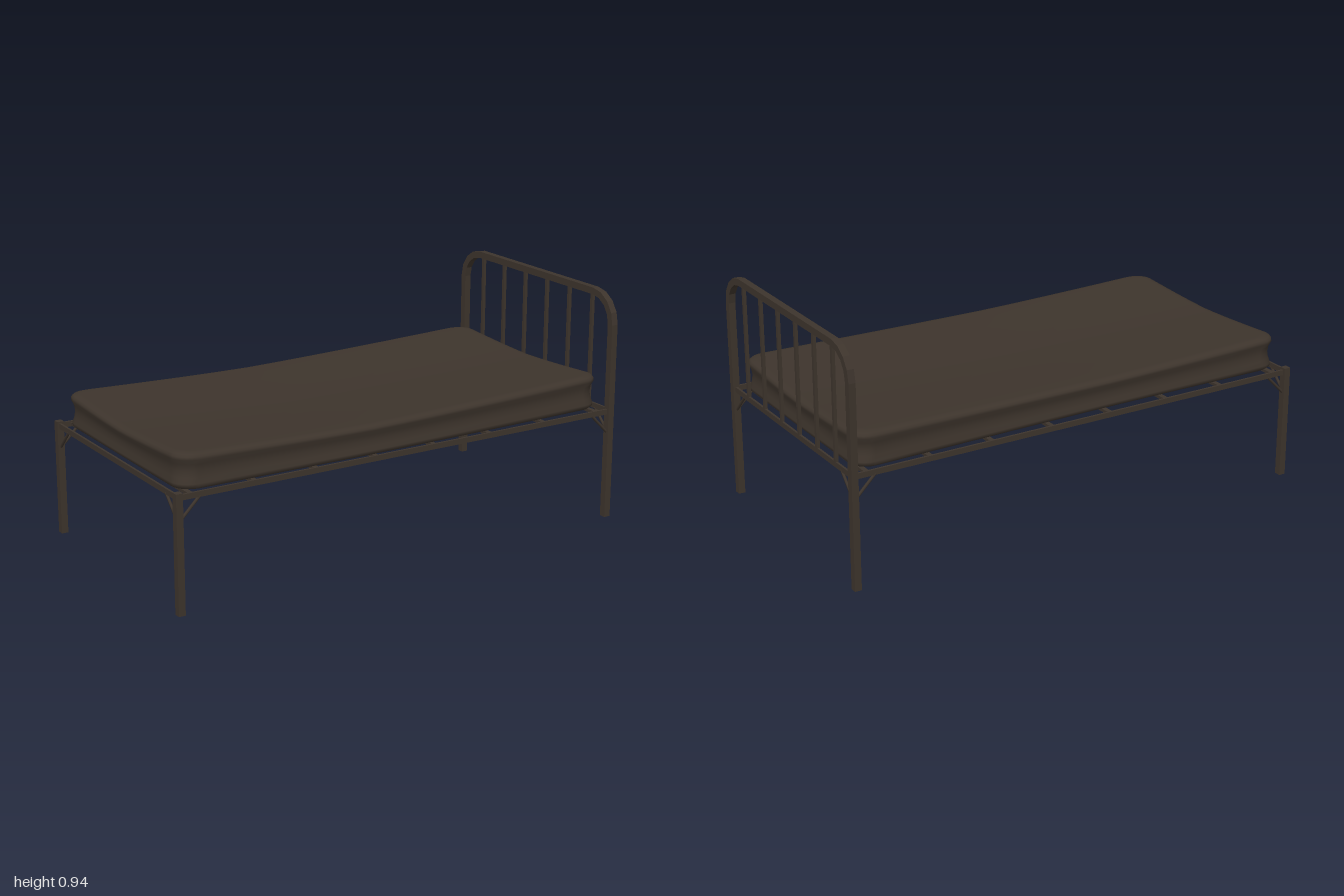
import * as THREE from 'three';

export function createModel() {
  const bed = new THREE.Group();
  bed.name = 'bed';
  const metal = new THREE.MeshStandardMaterial({ color: 0x3d342c });
  metal.name = 'dark brown';

  const add = (name, geometry, x = 0, y = 0, z = 0) => {
    const mesh = new THREE.Mesh(geometry, metal);
    mesh.name = name;
    mesh.position.set(x, y, z);
    bed.add(mesh);
    return mesh;
  };
  const box = (name, w, h, d, x, y, z) => add(name, new THREE.BoxGeometry(w, h, d), x, y, z);

  // Thin strut between two points
  const strut = (name, a, b, radius) => {
    const mesh = add(name, new THREE.CylinderGeometry(radius, radius, a.distanceTo(b), 6));
    mesh.position.copy(a).add(b).multiplyScalar(0.5);
    mesh.quaternion.setFromUnitVectors(new THREE.Vector3(0, 1, 0), b.clone().sub(a).normalize());
  };

  // Headboard: one square tube bent into an arch
  const T = 0.028, PX = 0.986, PZ = 0.504, TOP = 0.944;
  const archLine = (inset) => {
    const half = PZ + T / 2 - inset, r = 0.13 - inset, top = TOP - inset;
    const pts = [[half, 0]];
    for (let i = 0; i <= 4; i++) {
      const a = (i / 4) * Math.PI / 2;
      pts.push([half - r + r * Math.cos(a), top - r + r * Math.sin(a)]);
    }
    const mirrored = pts.map(([x, y]) => [-x, y]).reverse();
    return [...pts, ...mirrored].map(([x, y]) => new THREE.Vector2(x, y));
  };
  const arch = new THREE.Shape([...archLine(0), ...archLine(T).reverse()]);
  const archGeo = new THREE.ExtrudeGeometry(arch, { depth: T, bevelEnabled: false });
  archGeo.rotateY(Math.PI / 2);
  add('headboardArch', archGeo, PX - T / 2);
  for (let i = 0; i < 6; i++) {
    box('headboardBar', 0.013, 0.47, 0.013, PX, 0.69, (i - 2.5) * 0.1487);
  }

  // Foot posts, rails and corner braces
  const RY = 0.451, RH = 0.022;
  for (const s of [1, -1]) {
    box('footPost', T, 0.47, T, -PX, 0.235, s * PZ);
    box('sideRail', 2 * PX, RH, 0.009, 0, RY, s * PZ);
    box('endRail', 0.009, RH, 2 * PZ, s * PX, RY, 0);
    for (const t of [1, -1]) {
      const low = new THREE.Vector3(s * PX, 0.355, t * PZ);
      strut('cornerBrace', low, new THREE.Vector3(s * (PX - 0.09), 0.445, t * PZ), 0.006);
      strut('cornerBrace', low, new THREE.Vector3(s * PX, 0.445, t * (PZ - 0.09)), 0.006);
    }
  }

  // Slats under the mattress
  for (let i = 0; i < 8; i++) {
    box('slat', 0.02, 0.012, 2 * PZ, -0.928 + i * 0.265, RY, 0);
  }

  add('mattress', mattressGeometry());
  return bed;
}

// Sagging mattress from rounded-rectangle loops, closed toward the middle
function mattressGeometry() {
  const HX = 0.967, HZ = 0.482, R = 0.075;
  const outline = [];
  const corners = [[1, 1, 0], [-1, 1, 1], [-1, -1, 2], [1, -1, 3]];
  corners.forEach(([sx, sz, q], k) => {
    for (let i = 0; i <= 6; i++) {
      const a = (q + i / 6) * Math.PI / 2;
      outline.push([sx * (HX - R) + R * Math.cos(a), sz * (HZ - R) + R * Math.sin(a)]);
    }
    const [nx, nz, nq] = corners[(k + 1) % 4];
    const [x0, z0] = outline[outline.length - 1];
    const a = nq * Math.PI / 2;
    const x1 = nx * (HX - R) + R * Math.cos(a), z1 = nz * (HZ - R) + R * Math.sin(a);
    for (let i = 1; i < 12; i++) outline.push([x0 + (x1 - x0) * i / 12, z0 + (z1 - z0) * i / 12]);
  });

  // Each loop: [inset, height fraction, scale toward the middle]
  const loops = [
    [0, 0, 0], [0, 0, 0.5], [0.03, 0, 1], [0.012, 0.02, 1], [0.002, 0.09, 1], [0.002, 0.17, 1],
    [0.008, 0.32, 1], [0.011, 0.5, 1], [0.008, 0.68, 1], [0, 0.82, 1], [0.001, 0.9, 1],
    [0.008, 0.96, 1], [0.022, 0.995, 1], [0.035, 1, 1],
    [0.035, 1, 0.85], [0.035, 1, 0.65], [0.035, 1, 0.45], [0.035, 1, 0.25], [0, 1, 0],
  ];
  const n = outline.length, pos = [], index = [];
  const dip = (v) => 1 - Math.pow(Math.min(1, Math.abs(v)), 1.4);
  for (const [inset, h, scale] of loops) {
    for (const [ox, oz] of outline) {
      const x = ox * (1 - inset / HX) * scale, z = oz * (1 - inset / HZ) * scale;
      const sag = 0.021 * dip((x + 0.15) / (x < -0.15 ? 0.8 : 1.1)) + 0.021 * dip(z / 0.42);
      const bow = 0.016 * dip((x + 0.15) / 1.1) - 0.004 - 0.005 * x;
      pos.push(x - 0.003, 0.458 + h * (0.142 - sag), z + bow);
    }
  }
  for (let j = 0; j < loops.length - 1; j++) {
    for (let i = 0; i < n; i++) {
      const a = j * n + i, b = j * n + (i + 1) % n;
      index.push(a, a + n, b, b, a + n, b + n);
    }
  }
  const g = new THREE.BufferGeometry();
  g.setAttribute('position', new THREE.Float32BufferAttribute(pos, 3));
  g.setIndex(index);
  g.computeVertexNormals();
  return g;
}
